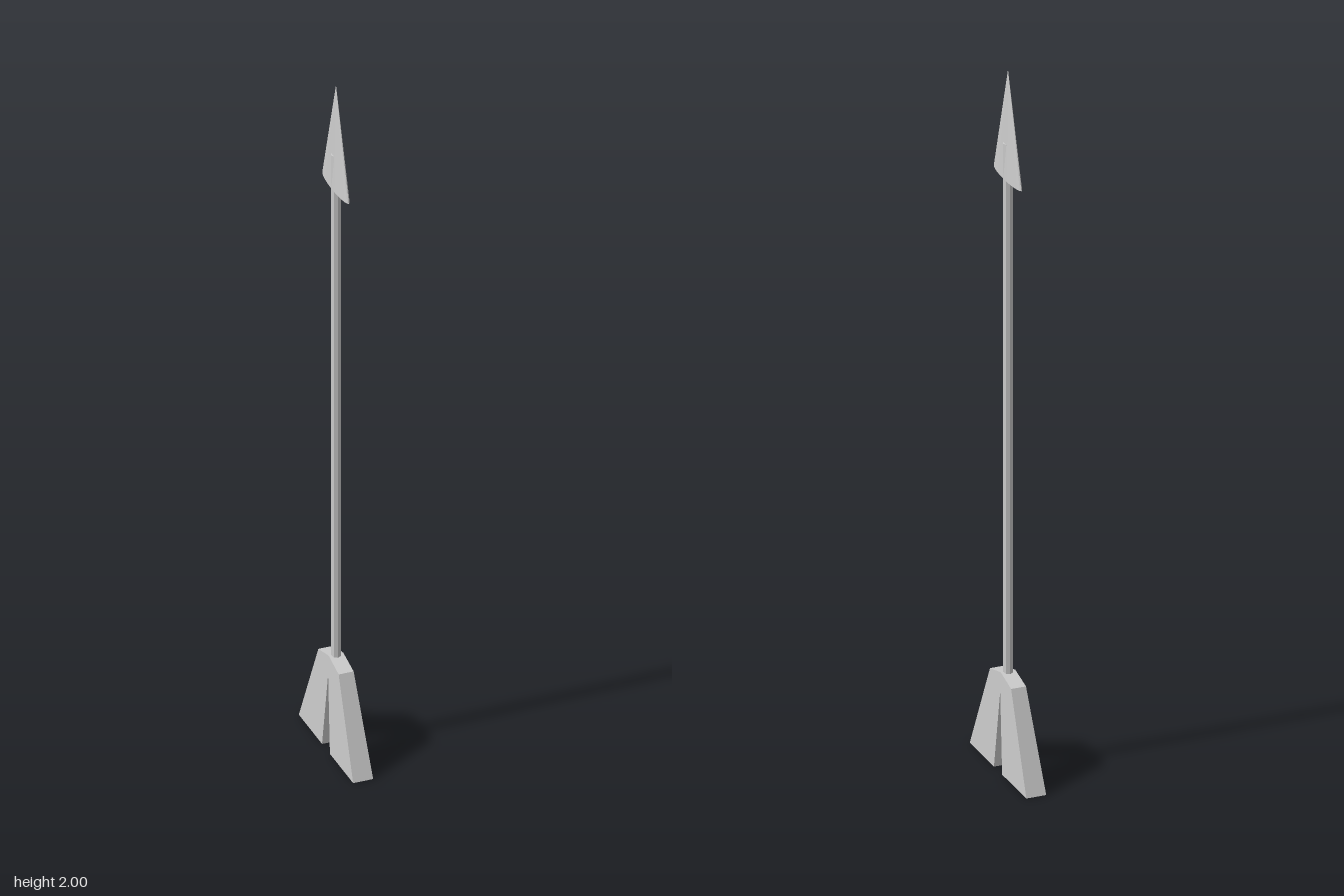
import * as THREE from 'three';

const material = new THREE.MeshStandardMaterial({ color: 0xcccccc, flatShading: true });

function part(name, geometry) {
  const mesh = new THREE.Mesh(geometry, material);
  mesh.name = name;
  return mesh;
}

// Forked tail: profile in the z-y plane, thinning toward the top
function fletchingGeometry() {
  const outline = [
    [-0.187, 0], [-0.027, 0], [0, 0.225], [0.027, 0],
    [0.187, 0], [0.07, 0.262], [0, 0.28], [-0.07, 0.262],
  ];
  const shape = new THREE.Shape(outline.map(([z, y]) => new THREE.Vector2(z, y)));
  const geometry = new THREE.ExtrudeGeometry(shape, { depth: 1, bevelEnabled: false });
  geometry.translate(0, 0, -0.5).rotateY(-Math.PI / 2);
  const p = geometry.attributes.position;
  for (let i = 0; i < p.count; i++) {
    const halfWidth = 0.028 - 0.027 * p.getY(i);
    p.setX(i, p.getX(i) * 2 * halfWidth + 0.006 * p.getZ(i));
  }
  geometry.computeVertexNormals();
  return geometry;
}

export function createModel() {
  const model = new THREE.Group();
  model.name = 'arrow';

  // Shaft, running from inside the tail into the head
  const shaft = part('shaft', new THREE.CylinderGeometry(0.0135, 0.0135, 1.53, 8));
  shaft.position.y = 1.025;
  model.add(shaft);

  // Flattened conical head
  const headGeometry = new THREE.ConeGeometry(0.09, 0.31, 24);
  headGeometry.scale(0.0135 / 0.09, 1, 1);
  const head = part('head', headGeometry);
  head.position.y = 1.845;
  model.add(head);

  model.add(part('fletching', fletchingGeometry()));
  return model;
}
